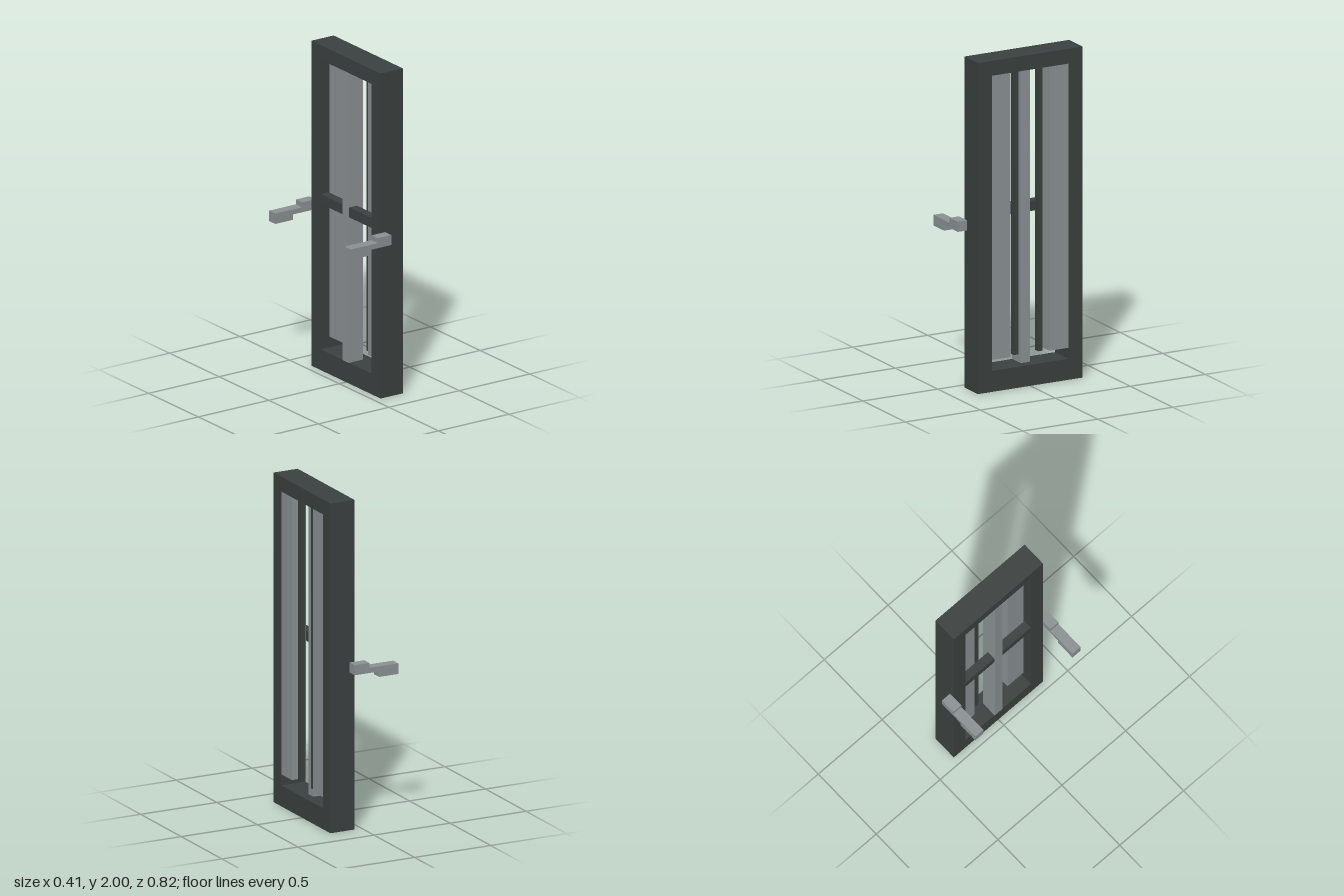
import * as THREE from 'three';

const frameGrey = new THREE.MeshStandardMaterial({ name: 'darkFrameGrey', color: 0x3b4140 });
const steelGrey = new THREE.MeshStandardMaterial({ name: 'steelGrey', color: 0x8b9194 });

// Box given by its lower and upper limits on each axis
function addBox(parent, name, material, [x0, x1], [y0, y1], [z0, z1]) {
  const mesh = new THREE.Mesh(new THREE.BoxGeometry(x1 - x0, y1 - y0, z1 - z0), material);
  mesh.position.set((x0 + x1) / 2, (y0 + y1) / 2, (z0 + z1) / 2);
  mesh.name = name;
  parent.add(mesh);
}

function rectangle(Type, a0, a1, b0, b1) {
  const r = new Type();
  r.moveTo(a0, b0);
  r.lineTo(a1, b0);
  r.lineTo(a1, b1);
  r.lineTo(a0, b1);
  r.closePath();
  return r;
}

export function createModel() {
  const model = new THREE.Group();
  model.name = 'barredDoor';

  // Outer frame: rectangle with a tall opening, extruded along x
  const outline = rectangle(THREE.Shape, -0.349, 0.349, 0, 2);
  outline.holes.push(rectangle(THREE.Path, -0.256, 0.256, 0.127, 1.91));
  const frameGeometry = new THREE.ExtrudeGeometry(outline, { depth: 0.158, bevelEnabled: false });
  frameGeometry.rotateY(Math.PI / 2);
  const frame = new THREE.Mesh(frameGeometry, frameGrey);
  frame.position.x = 0.048;
  frame.name = 'frame';
  model.add(frame);

  // Central upright and the crossbar behind the panels
  addBox(model, 'centralUpright', steelGrey, [0.046, 0.148], [0.127, 1.91], [-0.03, 0.03]);
  addBox(model, 'crossbar', frameGrey, [0.05, 0.105], [1.022, 1.083], [-0.256, 0.256]);

  // Step-shaped handle profile, seen from the front
  const handleShape = new THREE.Shape([
    [-0.207, 0.924], [-0.081, 0.924], [-0.081, 0.957], [0.08, 0.957],
    [0.08, 1.018], [-0.017, 1.018], [-0.017, 0.988], [-0.207, 0.988],
  ].map(([x, y]) => new THREE.Vector2(x, y)));
  const handleGeometry = new THREE.ExtrudeGeometry(handleShape, { depth: 0.063, bevelEnabled: false });

  // Mirrored panels, rods and handles
  for (const side of [-1, 1]) {
    const label = side > 0 ? 'front' : 'back';
    const span = (a, b) => (side > 0 ? [a, b] : [-b, -a]);
    addBox(model, label + 'Panel', steelGrey, [0.112, 0.204], [0.193, 1.91], span(0.13, 0.256));
    addBox(model, label + 'Rod', frameGrey, [0.147, 0.181], [0.193, 1.91], span(0.065, 0.095));

    const handle = new THREE.Mesh(handleGeometry, steelGrey);
    handle.position.z = side > 0 ? 0.349 : -0.412;
    handle.name = label + 'Handle';
    model.add(handle);
  }
  return model;
}
